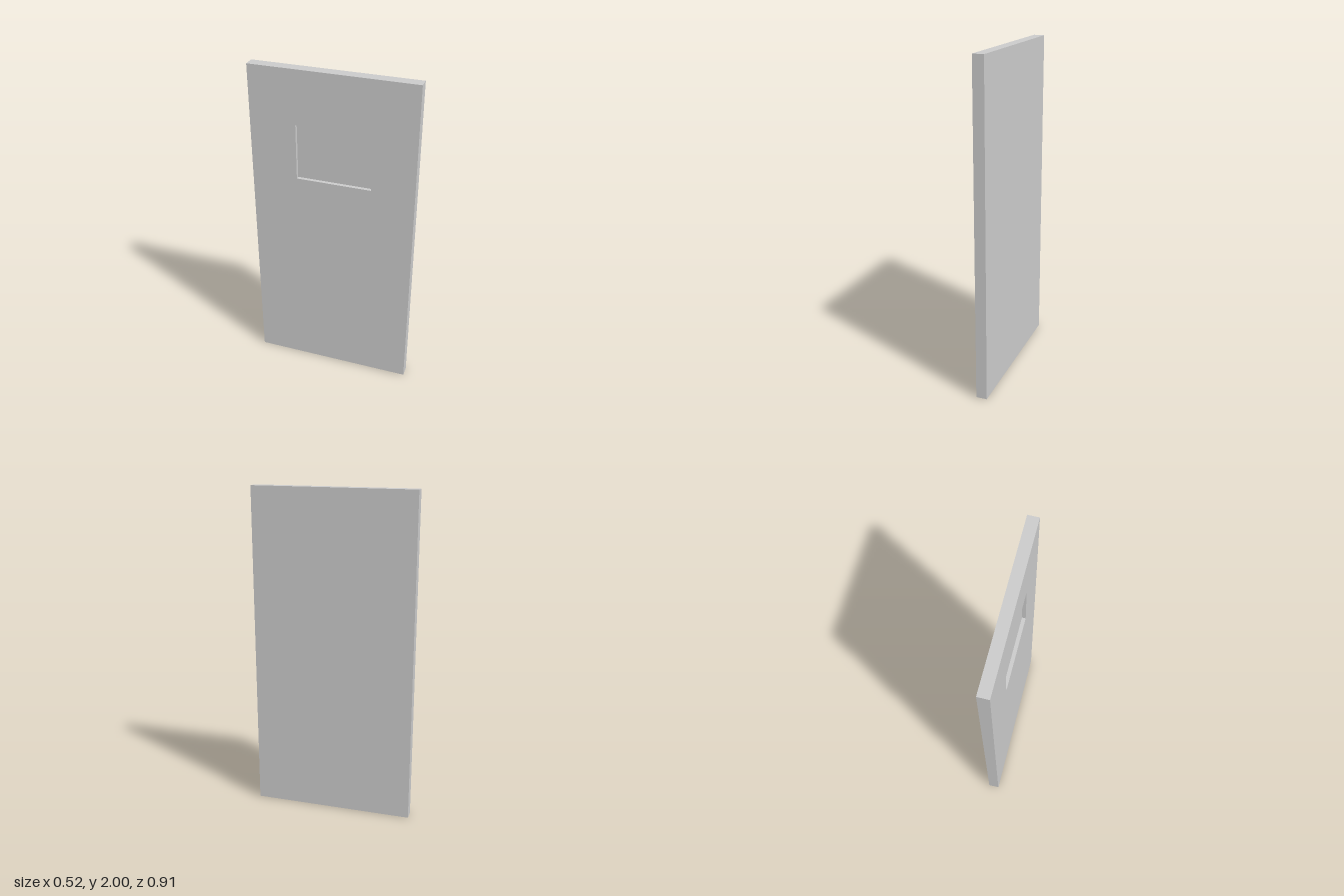
import * as THREE from 'three';

const WIDTH = 0.984, HEIGHT = 1.996, THICK = 0.066;
const RECESS = { x: 0.01, y: 0.503, w: 0.45, h: 0.338, depth: 0.022 };

// Counter-clockwise rectangle (seen from +z) at depth z
function ring(x, y, w, h, z) {
  return [[-1, -1], [1, -1], [1, 1], [-1, 1]].map(
    ([sx, sy]) => new THREE.Vector3(x + sx * w / 2, y + sy * h / 2, z));
}

// Stitch consecutive rectangles together and close both ends
function stitchRings(rings) {
  const points = [];
  const quad = (a, b, c, d) => points.push(a, b, c, a, c, d);
  const first = rings[0], last = rings[rings.length - 1];
  quad(first[3], first[2], first[1], first[0]);
  for (let r = 0; r < rings.length - 1; r++) {
    for (let i = 0; i < 4; i++) {
      const j = (i + 1) % 4;
      quad(rings[r][i], rings[r][j], rings[r + 1][j], rings[r + 1][i]);
    }
  }
  quad(...last);
  const geometry = new THREE.BufferGeometry().setFromPoints(points);
  geometry.computeVertexNormals();
  return geometry;
}

export function createModel() {
  const group = new THREE.Group();
  group.name = 'doorPanel';
  const { x, y, w, h, depth } = RECESS;

  // Solid slab with a shallow rectangular recess in its outer face
  const slab = new THREE.Mesh(
    stitchRings([
      ring(0, 0, WIDTH, HEIGHT, -THICK / 2),
      ring(0, 0, WIDTH, HEIGHT, THICK / 2),
      ring(x, y, w, h, THICK / 2),
      ring(x, y, w, h, THICK / 2 - depth),
    ]),
    new THREE.MeshStandardMaterial({ color: 0xcccccc, flatShading: true }));
  slab.name = 'recessedSlab';

  // Swung open, with a very slight lean
  slab.rotation.set(-0.0035, -1.09, 0.002, 'YXZ');
  slab.position.y = 1;
  group.add(slab);
  return group;
}
